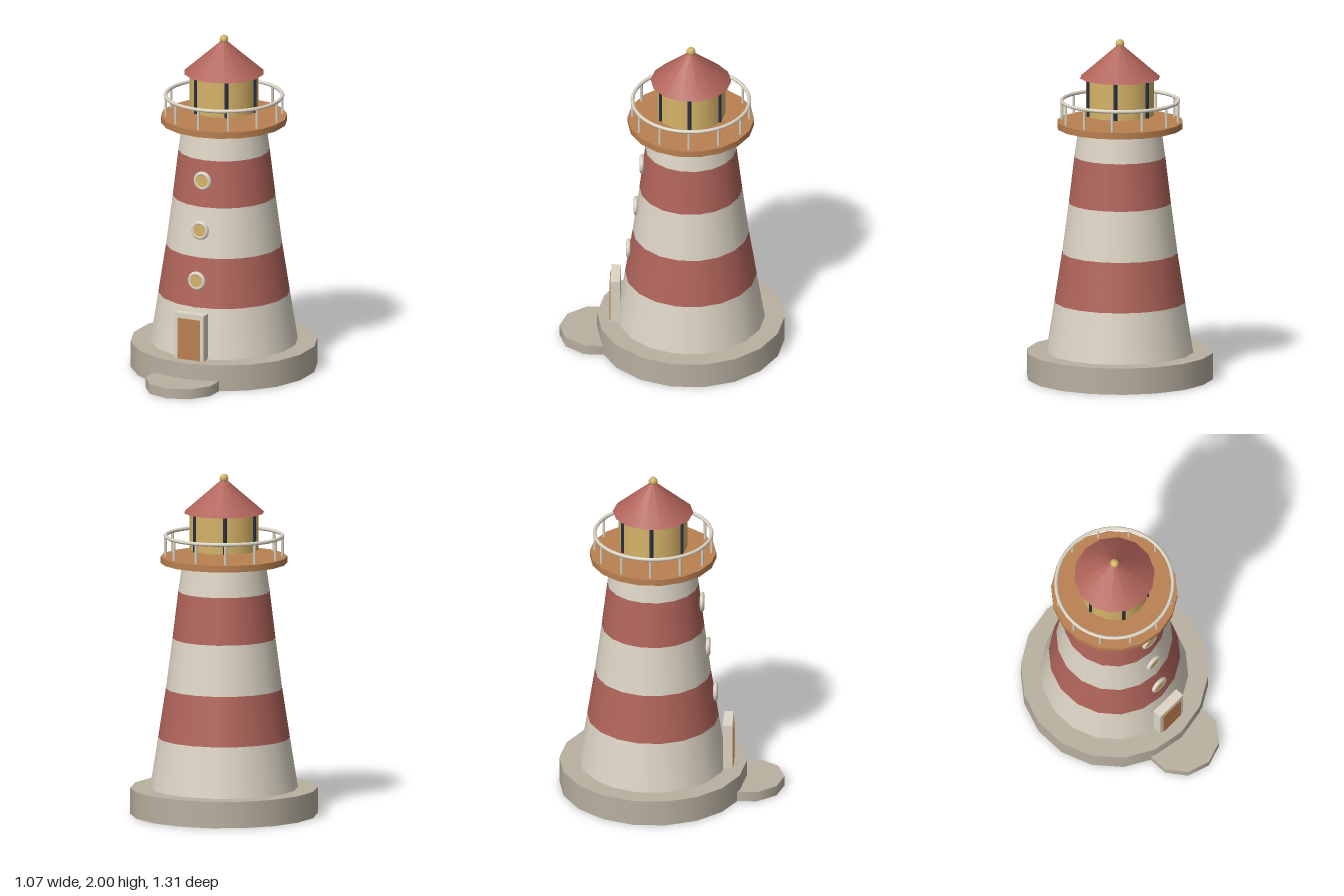
import * as THREE from 'three';

const material = (name, color) => {
  const m = new THREE.MeshStandardMaterial({ color });
  m.name = name;
  return m;
};

export function createModel() {
  const cream = material('cream', 0xddd5c5);
  const stone = material('stone', 0xb9b0a0);
  const red = material('brick red', 0xb0645a);
  const wood = material('wood', 0xba8050);
  const glow = material('lamp yellow', 0xd6b468);
  const iron = material('dark iron', 0x2c3244);

  const model = new THREE.Group();
  model.name = 'lighthouse';
  const tower = new THREE.Group();
  tower.name = 'tower';
  tower.position.z = -0.11;
  model.add(tower);

  const add = (parent, name, geometry, mat, x = 0, y = 0, z = 0) => {
    const mesh = new THREE.Mesh(geometry, mat);
    mesh.name = name;
    mesh.position.set(x, y, z);
    parent.add(mesh);
    return mesh;
  };
  // Upright drum between two heights
  const drum = (parent, name, mat, rTop, rBottom, y0, y1, sides, open = false, x = 0, z = 0) =>
    add(parent, name, new THREE.CylinderGeometry(rTop, rBottom, y1 - y0, sides, 1, open), mat, x, (y0 + y1) / 2, z);

  // Foundation and doorstep
  drum(tower, 'foundation', stone, 0.545, 0.545, 0, 0.155, 18);
  drum(model, 'doorstep', stone, 0.22, 0.22, 0, 0.06, 10, false, 0, 0.435);

  // Tapered striped wall: [height, radius]
  const wall = [[0.155, 0.43], [0.45, 0.383], [0.74, 0.338], [1.035, 0.299], [1.31, 0.266], [1.48, 0.242]];
  for (let i = 0; i < wall.length - 1; i++) {
    const [y0, r0] = wall[i], [y1, r1] = wall[i + 1];
    drum(tower, 'wallBand' + (i + 1), i % 2 ? red : cream, r1, r0, y0, y1, 18, true);
  }

  // Door
  add(model, 'doorFrame', new THREE.BoxGeometry(0.19, 0.275, 0.055), cream, 0, 0.2925, 0.3275);
  add(model, 'doorPanel', new THREE.BoxGeometry(0.145, 0.245, 0.009), wood, 0, 0.2775, 0.3565);

  // Round windows up the front
  [[0.605, 0.253], [0.9, 0.21], [1.19, 0.175]].forEach(([y, z], i) => {
    const porthole = new THREE.Group();
    porthole.name = 'window' + (i + 1);
    porthole.position.set(0, y, z);
    add(porthole, 'windowRim', new THREE.TorusGeometry(0.044, 0.013, 8, 18), cream);
    const pane = add(porthole, 'windowPane', new THREE.CylinderGeometry(0.042, 0.042, 0.02, 16), glow);
    pane.rotation.x = Math.PI / 2;
    model.add(porthole);
  });

  // Gallery deck and railing
  drum(tower, 'galleryDeck', wood, 0.368, 0.368, 1.477, 1.515, 18);
  const rail = add(tower, 'handrail', new THREE.TorusGeometry(0.34, 0.011, 8, 40), cream, 0, 1.635, 0);
  rail.rotation.x = Math.PI / 2;
  for (let i = 0; i < 12; i++) {
    const a = (i * Math.PI) / 6;
    drum(tower, 'railPost', cream, 0.008, 0.008, 1.51, 1.635, 6, false, 0.34 * Math.sin(a), 0.34 * Math.cos(a));
  }

  // Lantern room with glazing bars
  drum(tower, 'lantern', glow, 0.2, 0.2, 1.555, 1.78, 18);
  for (let i = 0; i < 6; i++) {
    const a = Math.PI / 6 + (i * Math.PI) / 3;
    drum(tower, 'glazingBar', iron, 0.011, 0.011, 1.555, 1.78, 6, false, 0.198 * Math.sin(a), 0.198 * Math.cos(a));
  }

  // Roof and finial
  add(tower, 'roof', new THREE.ConeGeometry(0.235, 0.205, 14), red, 0, 1.8755, 0);
  add(tower, 'finial', new THREE.SphereGeometry(0.027, 8, 6), glow, 0, 1.973, 0);

  return model;
}
